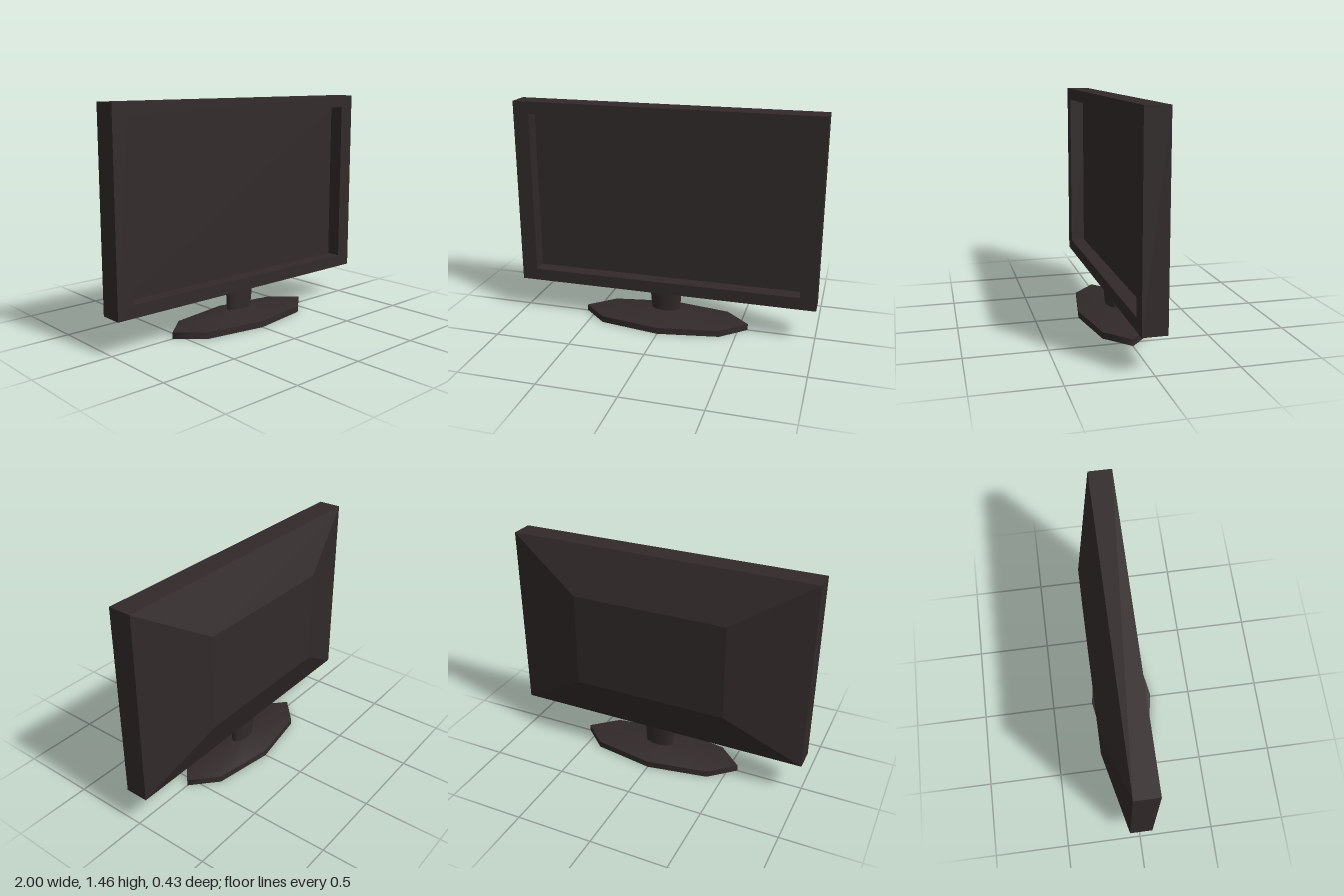
import * as THREE from 'three';
import { toCreasedNormals } from 'three/addons/utils/BufferGeometryUtils.js';

// Flat-faced loft through rings of [x, y, z] points, counter-clockwise seen from the last ring's side
function loft(rings, capEnd = false) {
  const pos = [];
  const tri = (a, b, c) => pos.push(...a, ...b, ...c);
  const n = rings[0].length;
  for (let r = 0; r < rings.length - 1; r++) {
    for (let i = 0; i < n; i++) {
      const j = (i + 1) % n;
      tri(rings[r][i], rings[r][j], rings[r + 1][j]);
      tri(rings[r][i], rings[r + 1][j], rings[r + 1][i]);
    }
  }
  const last = rings[rings.length - 1];
  for (let i = 1; capEnd && i < n - 1; i++) tri(last[0], last[i], last[i + 1]);
  const geo = new THREE.BufferGeometry();
  geo.setAttribute('position', new THREE.Float32BufferAttribute(pos, 3));
  geo.computeVertexNormals();
  return geo;
}

// Rectangle corners, clockwise seen from the front
const rectPoints = (x, y0, y1) => [[x, y1], [x, y0], [-x, y0], [-x, y1]];
const toVectors = (pts) => pts.map(([x, y]) => new THREE.Vector2(x, y));

export function createModel() {
  const group = new THREE.Group();
  const plastic = new THREE.MeshStandardMaterial({ color: 0x322a2a });
  plastic.name = 'dark plastic';
  const add = (name, geo) => {
    const mesh = new THREE.Mesh(geo, plastic);
    mesh.name = name;
    group.add(mesh);
  };

  // Frame with a rectangular opening
  const outline = new THREE.Shape(toVectors(rectPoints(1, 0.225, 1.457)).reverse());
  outline.holes.push(new THREE.Path(toVectors(rectPoints(0.895, 0.305, 1.377))));
  const frame = new THREE.ExtrudeGeometry(outline, { depth: 0.15, bevelEnabled: false });
  add('frame', frame.translate(0, 0, -0.072));

  // Recessed screen
  const screen = new THREE.PlaneGeometry(1.79, 1.072);
  add('screen', screen.translate(0, 0.841, -0.017));

  // Tapered back housing
  const backRing = (x, y0, y1, z) => rectPoints(x, y0, y1).map(([px, py]) => [px, py, z]);
  add('backHousing', loft([backRing(1, 0.225, 1.457, -0.072), backRing(0.51, 0.53, 1.155, -0.2)], true));

  // Oval neck, leaning slightly forward
  const neck = new THREE.CylinderGeometry(0.11, 0.096, 0.17, 24, 1);
  neck.scale(1, 1, 0.47).translate(0, 0.16, 0);
  const p = neck.attributes.position;
  for (let i = 0; i < p.count; i++) p.setZ(i, p.getZ(i) - 0.015 + 0.04 * (p.getY(i) - 0.08));
  add('neck', neck);

  // Eight-sided foot rising to the neck; edge midpoints make 16 points per ring
  const corners = [[0.562, 0], [0.4, -0.148], [0, -0.215], [-0.4, -0.148],
    [-0.562, 0], [-0.4, 0.148], [0, 0.215], [0.4, 0.148]];
  const edge = corners.flatMap((a, i) => {
    const b = corners[(i + 1) % 8];
    return [a, [(a[0] + b[0]) / 2, (a[1] + b[1]) / 2]];
  });
  const footRing = (y) => edge.map(([x, z]) => [x, y, z]);
  const collar = edge.map((_, i) => {
    const t = (i / 16) * Math.PI * 2;
    return [0.098 * Math.cos(t), 0.085, -0.015 - 0.047 * Math.sin(t)];
  });
  add('footRim', toCreasedNormals(loft([footRing(0), footRing(0.042)]), Math.PI));
  add('footTop', toCreasedNormals(loft([footRing(0.042), collar], true), 0.6));

  // Flat underside of the foot
  const underside = new THREE.ShapeGeometry(new THREE.Shape(toVectors(corners)));
  add('footUnderside', underside.rotateX(Math.PI / 2));

  return group;
}
